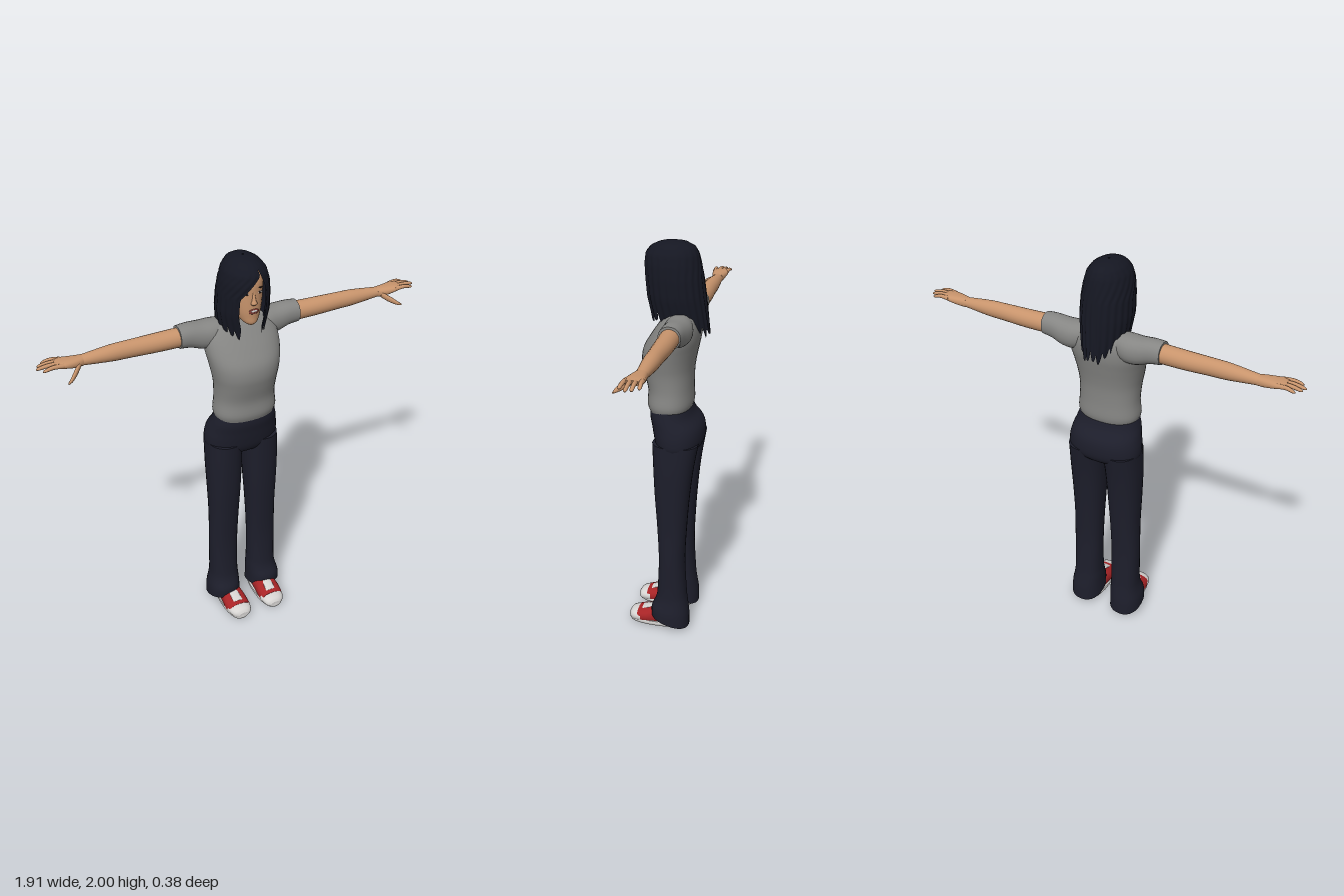
import * as THREE from 'three';

const mat = (name, color, side = THREE.FrontSide) => {
  const m = new THREE.MeshStandardMaterial({ color, side });
  m.name = name;
  return m;
};

// Catmull-Rom blend of two neighbouring cross-sections
function ringAt(rings, i, f) {
  const at = (k) => rings[Math.max(0, Math.min(rings.length - 1, k))];
  const [p, a, b, n] = [at(i - 1), at(i), at(i + 1), at(i + 2)];
  return a.map((v, k) => v + 0.5 * f * (b[k] - p[k] + f * (2 * p[k] - 5 * v + 4 * b[k] - n[k]
    + f * (3 * (v - b[k]) + n[k] - p[k]))));
}

// Smooth closed skin over rings [t, c1, c2, r1, r2].
// axis y: c = (x, z); axis x: c = (z, y); axis z: c = (y, x)
function loft(axis, rings, seg = 24, power = 2, steps = 4) {
  const pos = [], idx = [], place = {
    y: (t, a, b) => [a, t, b], x: (t, a, b) => [t, b, a], z: (t, a, b) => [b, a, t],
  }[axis];
  const bend = (s) => Math.sign(s) * Math.abs(s) ** (2 / power);
  const addRing = ([t, c1, c2, r1, r2]) => {
    for (let j = 0; j < seg; j++) {
      const q = (j / seg) * Math.PI * 2;
      pos.push(...place(t, c1 + r1 * bend(Math.sin(q)), c2 + r2 * bend(Math.cos(q))));
    }
  };
  const rows = (rings.length - 1) * steps;
  for (let i = 0; i <= rows; i++) {
    const k = Math.min(Math.floor(i / steps), rings.length - 2);
    addRing(ringAt(rings, k, i / steps - k));
  }
  for (let i = 0; i < rows; i++) for (let j = 0; j < seg; j++) {
    const a = i * seg + j, b = i * seg + (j + 1) % seg;
    idx.push(a, b, b + seg, a, b + seg, a + seg);
  }
  // End caps
  [rings[0], rings[rings.length - 1]].forEach((r, end) => {
    const s = pos.length / 3;
    addRing(r);
    pos.push(...place(r[0], r[1], r[2]));
    for (let j = 0; j < seg; j++) {
      const a = s + j, b = s + (j + 1) % seg;
      idx.push(s + seg, end ? a : b, end ? b : a);
    }
  });
  return surface(pos, idx);
}

function surface(pos, idx) {
  const g = new THREE.BufferGeometry();
  g.setAttribute('position', new THREE.Float32BufferAttribute(pos, 3));
  g.setIndex(idx);
  g.computeVertexNormals();
  return g;
}

function mirrored(geo) {
  const g = geo.clone().scale(-1, 1, 1), a = g.index.array;
  for (let i = 0; i < a.length; i += 3) [a[i], a[i + 1]] = [a[i + 1], a[i]];
  g.computeVertexNormals();
  return g;
}

const blob = (x, y, z, rx, ry, rz) => new THREE.SphereGeometry(1, 16, 12).scale(rx, ry, rz).translate(x, y, z);

// Piecewise linear lookup in rows sorted by falling height
function lookup(table, y) {
  let i = 0;
  while (i < table.length - 2 && y < table[i + 1][0]) i++;
  const [a, b] = [table[i], table[i + 1]];
  const f = THREE.MathUtils.clamp((a[0] - y) / (a[0] - b[0]), 0, 1);
  return a.map((v, k) => v + (b[k] - v) * f);
}

// Ridged hair shell, open over the face, with a ragged lower edge
function hairGeometry() {
  // height, half width, front z, back z, left edge angle, right edge angle
  const table = [
    [2.0, 0.004, -0.01, -0.02, 0.25, 0.25], [1.994, 0.045, 0.05, -0.08, 0.25, 0.25],
    [1.975, 0.075, 0.09, -0.115, 0.25, 0.25], [1.945, 0.097, 0.115, -0.132, 0.27, 0.22],
    [1.9, 0.11, 0.123, -0.143, 0.42, -0.2], [1.84, 0.118, 0.12, -0.155, 0.45, -0.6],
    [1.75, 0.121, 0.11, -0.167, 0.42, -0.6], [1.66, 0.108, 0.09, -0.178, 0.4, -0.48],
    [1.54, 0.085, 0.08, -0.192, 0.4, -0.4],
  ];
  const cols = 120, rows = 28, pos = [], idx = [];
  for (let i = 0; i <= rows; i++) for (let j = 0; j <= cols; j++) {
    const u = j / cols, v = i / rows;
    const jag = 0.045 * Math.abs(Math.sin(u * Math.PI * 20)) + 0.012 * Math.sin(u * 47);
    const bottom = 1.685 - 0.075 * Math.sin(u * Math.PI) ** 2 - jag;
    const y = 2 - (2 - bottom) * v ** 1.6;
    const [, w, zf, zb, a, b] = lookup(table, y);
    const q = a + (b + Math.PI * 2 - a) * u;
    const r = 1 + 0.025 * Math.sin(u * Math.PI * 40) * v;
    pos.push(w * r * Math.sin(q), y, (zf + zb) / 2 + ((zf - zb) / 2) * r * Math.cos(q));
    if (i < rows && j < cols) {
      const k = i * (cols + 1) + j, d = k + cols + 1;
      idx.push(k, d, d + 1, k, d + 1, k + 1);
    }
  }
  return surface(pos, idx);
}

export function createModel() {
  const model = new THREE.Group();
  model.name = 'standingWoman';
  const skin = mat('skin', 0xc8946c), shirt = mat('shirtGrey', 0x868684), denim = mat('trouserNavy', 0x1d1e2b);
  const hair = mat('hairBlack', 0x151722, THREE.DoubleSide), red = mat('shoeRed', 0xa82426);
  const white = mat('white', 0xd6d4d2), lip = mat('lips', 0x8a4038), dark = mat('eyeDark', 0x2a1c18);
  const add = (name, geo, m) => {
    const mesh = new THREE.Mesh(geo, m);
    mesh.name = name;
    model.add(mesh);
  };
  const pair = (name, geo, m) => {
    add(name + 'Left', geo, m);
    add(name + 'Right', mirrored(geo), m);
  };

  // Shirt
  add('shirtBody', loft('y', [
    [1.195, 0, -0.005, 0.148, 0.1], [1.23, 0, -0.005, 0.157, 0.109], [1.3, 0, -0.005, 0.15, 0.107],
    [1.38, 0, 0.003, 0.153, 0.117], [1.44, 0, 0.004, 0.163, 0.126], [1.5, 0, -0.006, 0.174, 0.128],
    [1.56, 0, -0.028, 0.182, 0.117], [1.62, 0, -0.048, 0.175, 0.097], [1.665, 0, -0.058, 0.14, 0.075],
    [1.69, 0, -0.06, 0.075, 0.055],
  ], 36, 2.25), shirt);
  pair('sleeve', loft('x', [
    [0.06, -0.065, 1.635, 0.05, 0.05], [0.13, -0.07, 1.622, 0.068, 0.066],
    [0.19, -0.072, 1.622, 0.064, 0.066], [0.25, -0.07, 1.634, 0.056, 0.058], [0.302, -0.068, 1.636, 0.052, 0.053],
  ], 24, 2.2), shirt);

  // Arms and hands
  pair('arm', loft('x', [
    [0.25, -0.068, 1.634, 0.046, 0.046], [0.4, -0.07, 1.632, 0.044, 0.044], [0.53, -0.07, 1.633, 0.038, 0.041],
    [0.62, -0.07, 1.633, 0.036, 0.038], [0.75, -0.07, 1.632, 0.027, 0.024], [0.78, -0.07, 1.632, 0.03, 0.022],
  ]), skin);
  pair('palm', loft('x', [
    [0.75, -0.07, 1.632, 0.027, 0.023], [0.79, -0.067, 1.634, 0.035, 0.023],
    [0.84, -0.067, 1.641, 0.042, 0.017], [0.875, -0.067, 1.644, 0.037, 0.011],
  ], 20, 2.4), skin);
  [[-0.1, -0.108, 0.925], [-0.078, -0.083, 0.948], [-0.056, -0.06, 0.957], [-0.035, -0.03, 0.935]]
    .forEach(([z0, z1, tip], i) => pair('finger' + (i + 1), loft('x', [
      [0.84, z0, 1.643, 0.011, 0.011], [(0.84 + tip) / 2, (z0 + z1) / 2, 1.648, 0.0095, 0.0095],
      [tip - 0.012, z1, 1.642, 0.008, 0.007], [tip, z1, 1.639, 0.002, 0.002],
    ], 10), skin));
  pair('thumb', loft('x', [
    [0.765, -0.05, 1.626, 0.012, 0.014], [0.795, -0.02, 1.608, 0.014, 0.016],
    [0.825, 0.008, 1.592, 0.01, 0.011], [0.845, 0.021, 1.584, 0.003, 0.004],
  ], 12), skin);

  // Trousers
  add('trouserHips', loft('y', [
    [0.965, 0, -0.045, 0.06, 0.05], [0.985, 0, -0.047, 0.14, 0.088], [1.02, 0, -0.051, 0.182, 0.113],
    [1.07, 0, -0.048, 0.186, 0.122], [1.12, 0, -0.038, 0.177, 0.121],
    [1.17, 0, -0.014, 0.163, 0.106], [1.222, 0, -0.006, 0.148, 0.096],
  ], 36, 2.2), denim);
  const leg = loft('y', [
    [0.04, 0.118, -0.03, 0.086, 0.098], [0.1, 0.117, -0.029, 0.084, 0.097], [0.16, 0.111, -0.034, 0.077, 0.082],
    [0.22, 0.11, -0.036, 0.073, 0.074], [0.4, 0.109, -0.035, 0.074, 0.066], [0.58, 0.104, -0.034, 0.076, 0.074],
    [0.75, 0.101, -0.034, 0.083, 0.086], [0.9, 0.099, -0.039, 0.088, 0.098], [1.04, 0.094, -0.048, 0.089, 0.113],
  ], 28, 2.3);
  const p = leg.attributes.position;
  for (let i = 0; i < p.count; i++) { // hem rises toward the front
    const y = p.getY(i);
    if (y < 0.16) p.setY(i, y + (p.getZ(i) + 0.03) * 0.28 * (0.16 - y) / 0.12);
  }
  leg.computeVertexNormals();
  pair('trouserLeg', leg, denim);

  // Shoes
  pair('shoeSole', loft('y', [
    [0, 0.1, 0.045, 0.058, 0.143], [0.012, 0.099, 0.046, 0.065, 0.148], [0.026, 0.099, 0.046, 0.064, 0.147],
  ], 28, 2.5), white);
  pair('shoeUpper', loft('z', [
    [-0.095, 0.045, 0.1, 0.03, 0.035], [-0.05, 0.05, 0.1, 0.05, 0.052], [0.05, 0.047, 0.1, 0.051, 0.06],
    [0.1, 0.04, 0.1, 0.042, 0.064], [0.145, 0.034, 0.098, 0.034, 0.06],
  ], 24, 2.3), red);
  pair('shoeToe', loft('z', [
    [0.125, 0.035, 0.098, 0.0345, 0.064], [0.155, 0.033, 0.098, 0.032, 0.059],
    [0.18, 0.03, 0.096, 0.026, 0.046], [0.192, 0.026, 0.095, 0.014, 0.026],
  ], 24, 2.2), white);
  pair('shoeTongue', loft('z', [
    [0.03, 0.094, 0.1, 0.008, 0.026], [0.08, 0.086, 0.1, 0.007, 0.025], [0.125, 0.069, 0.098, 0.006, 0.028],
  ], 14), white);

  // Head and face
  add('neck', loft('y', [
    [1.64, 0, -0.055, 0.056, 0.052], [1.695, 0, -0.05, 0.045, 0.043], [1.78, 0, -0.03, 0.043, 0.046],
  ]), skin);
  add('head', loft('y', [
    [1.698, 0, 0.055, 0.016, 0.024], [1.712, 0, 0.05, 0.034, 0.042], [1.74, 0, 0.03, 0.053, 0.064],
    [1.78, 0, 0.015, 0.067, 0.082], [1.85, 0, 0.003, 0.077, 0.093], [1.91, 0, 0, 0.076, 0.093],
    [1.955, 0, -0.01, 0.056, 0.072], [1.975, 0, -0.015, 0.02, 0.03],
  ], 28), skin);
  add('nose', loft('y', [
    [1.802, 0, 0.092, 0.009, 0.008], [1.812, 0, 0.096, 0.015, 0.016], [1.83, 0, 0.095, 0.009, 0.011], [1.865, 0, 0.09, 0.006, 0.006],
  ], 12), skin);
  pair('eye', blob(0.031, 1.857, 0.088, 0.014, 0.0055, 0.004), white);
  pair('iris', blob(0.031, 1.857, 0.0905, 0.0055, 0.0055, 0.003), dark);
  pair('eyebrow', blob(0.032, 1.879, 0.088, 0.017, 0.003, 0.004), dark);
  add('lips', blob(0, 1.772, 0.095, 0.025, 0.013, 0.006), lip);
  add('teeth', blob(0, 1.775, 0.099, 0.016, 0.005, 0.004), white);

  // Hair
  add('hair', hairGeometry(), hair);
  return model;
}
